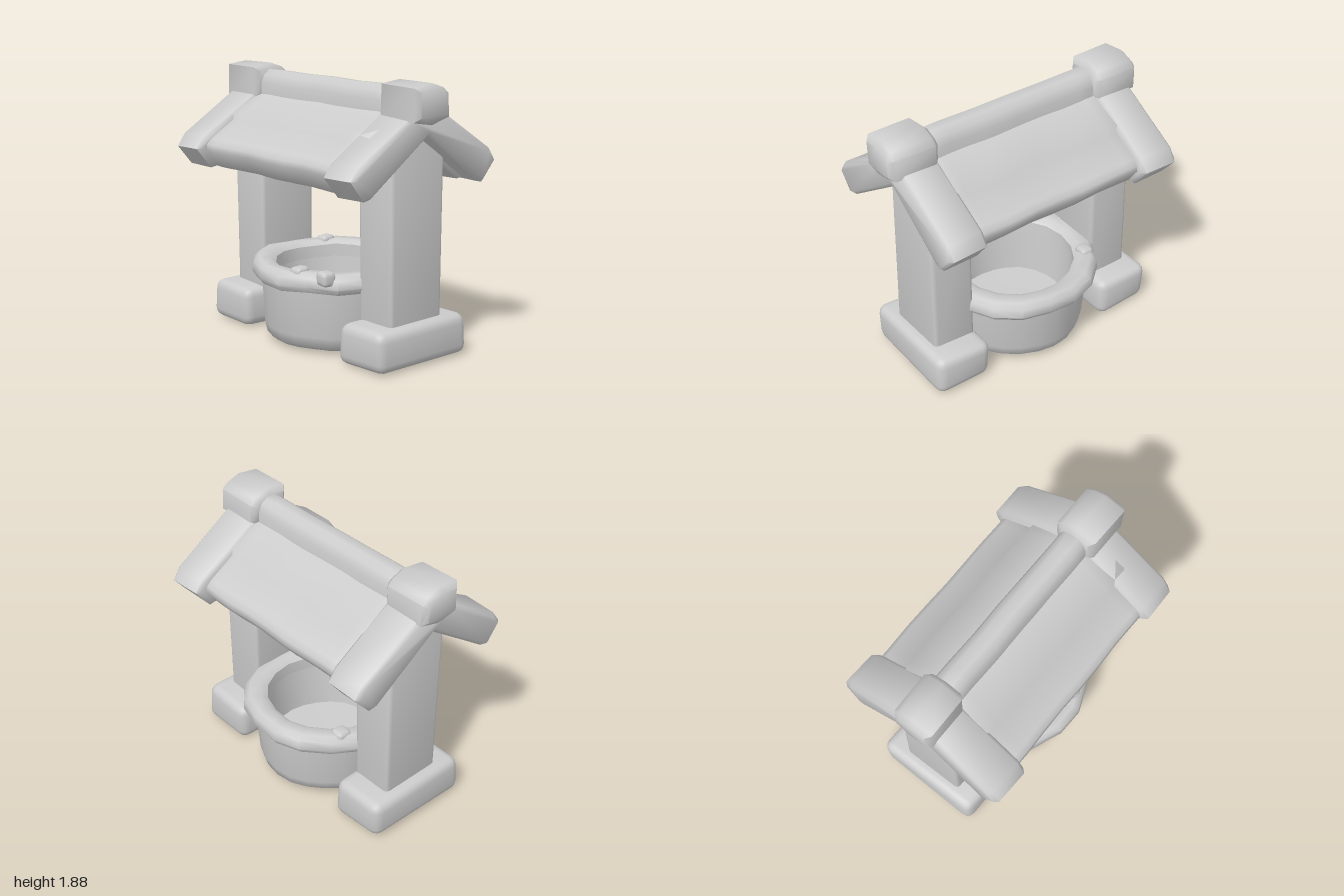
import * as THREE from 'three';
import { mergeVertices, toCreasedNormals } from 'three/addons/utils/BufferGeometryUtils.js';
import { RoundedBoxGeometry } from 'three/addons/geometries/RoundedBoxGeometry.js';

const CX = 0.048; // the basin sits slightly off the ridge line

export function createModel() {
  const model = new THREE.Group();
  model.name = 'well';
  const stone = new THREE.MeshStandardMaterial({ color: 0xcccccc });
  stone.name = 'pale grey stone';

  // Gentle hand-carved unevenness, the same for equal positions so seams stay closed
  function wobble(geo, amount) {
    const p = geo.attributes.position;
    for (let i = 0; i < p.count; i++) {
      const x = p.getX(i), y = p.getY(i), z = p.getZ(i);
      p.setXYZ(i,
        x + amount * Math.sin(7 * y + 9 * z + 1),
        y + amount * Math.sin(8 * x + 11 * z + 2),
        z + amount * Math.sin(6 * x + 8 * y));
    }
    return geo;
  }

  function add(name, geo, crease = 0.9) {
    const mesh = new THREE.Mesh(toCreasedNormals(geo, crease), stone);
    mesh.name = name;
    model.add(mesh);
    return mesh;
  }

  // Rounded block given by its limits
  function block(name, x0, x1, y0, y1, z0, z1, radius) {
    let geo = new RoundedBoxGeometry(x1 - x0, y1 - y0, z1 - z0, 2, radius);
    geo.translate((x0 + x1) / 2, (y0 + y1) / 2, (z0 + z1) / 2);
    geo.deleteAttribute('uv');
    geo.deleteAttribute('normal');
    geo = mergeVertices(geo, 1e-4);
    add(name, wobble(geo, 0.006));
  }

  // Profile in x and y, pulled from z0 to z1 with chamfered ends
  function prism(name, points, z0, z1, bevel, { steps = 1, amount = 0.005, crease = 0.9 } = {}) {
    const shape = new THREE.Shape(points.map(([x, y]) => new THREE.Vector2(x, y)));
    const geo = new THREE.ExtrudeGeometry(shape, {
      depth: z1 - z0 - 2 * bevel, steps, bevelEnabled: true,
      bevelSize: bevel, bevelOffset: -bevel, bevelThickness: bevel, bevelSegments: 1,
    });
    geo.translate(0, 0, z0 + bevel);
    return add(name, wobble(geo, amount), crease);
  }

  // Mirror the right half of a roof profile, from upper centre to lower centre
  const gable = (half) => [
    ...half,
    ...half.slice(1, -1).reverse().map(([x, y]) => [-x, y]),
  ];

  // Footings and posts
  block('frontFooting', -0.355, 0.445, 0.005, 0.285, 0.475, 0.9, 0.065);
  block('backFooting', -0.355, 0.445, 0.005, 0.285, -0.93, -0.51, 0.065);
  block('frontPost', -0.19, 0.275, 0.2, 1.52, 0.495, 0.815, 0.03);
  block('backPost', -0.19, 0.275, 0.2, 1.52, -0.85, -0.53, 0.03);

  // Roof covering with one shingle step on each slope
  prism('roofPanel', gable([
    [0, 1.7], [0.1, 1.67], [0.335, 1.545], [0.35, 1.505], [0.54, 1.385],
    [0.575, 1.35], [0.58, 1.31], [0.49, 1.19], [0.44, 1.185], [0, 1.5],
  ]), -0.78, 0.78, 0.01, { steps: 8, amount: 0.004, crease: 1.2 });

  // Gable beams at both ends, the front one a little askew
  const beam = gable([
    [0, 1.72], [0.15, 1.665], [0.585, 1.4], [0.645, 1.315],
    [0.53, 1.175], [0.48, 1.185], [0, 1.53],
  ]);
  prism('frontGableBeam', beam, 0.635, 0.93, 0.025, { crease: 1.1 }).rotation.y = 0.018;
  prism('backGableBeam', beam, -0.95, -0.655, 0.025, { crease: 1.1 });

  // Ridge pole and its end blocks
  prism('ridgePole', [
    [-0.11, 1.62], [0.105, 1.62], [0.1, 1.74], [0.075, 1.8], [0.03, 1.83],
    [-0.04, 1.835], [-0.085, 1.8], [-0.11, 1.74],
  ], -0.8, 0.8, 0.01, { steps: 6, amount: 0.003 });
  const cap = [
    [-0.155, 1.64], [0, 1.61], [0.15, 1.65], [0.145, 1.8], [0.1, 1.84], [0, 1.875], [-0.155, 1.855],
  ];
  prism('frontRidgeBlock', cap, 0.63, 1, 0.035, { amount: 0.003 });
  prism('backRidgeBlock', cap, -1, -0.64, 0.035, { amount: 0.003 });

  // Hollow basin and its stone rim
  function lathe(name, points, segments, amount) {
    const geo = new THREE.LatheGeometry(points.map(([r, y]) => new THREE.Vector2(r, y)), segments);
    geo.translate(CX, 0, -0.01);
    add(name, wobble(geo, amount), 0.8);
  }
  lathe('basin', [
    [0, 0.02], [0.44, 0.02], [0.48, 0.05], [0.5, 0.12], [0.525, 0.48],
    [0.43, 0.5], [0.4, 0.13], [0, 0.12],
  ], 24, 0.004);
  lathe('basinRim', [
    [0.42, 0.46], [0.51, 0.44], [0.57, 0.45], [0.597, 0.49], [0.588, 0.55],
    [0.55, 0.582], [0.47, 0.58], [0.425, 0.55], [0.42, 0.46],
  ], 18, 0.007);

  // Small raised stones on the rim
  for (const [x, z] of [[-0.42, 0.16], [-0.37, 0.37], [0.31, -0.44]]) {
    block('rimStone', x - 0.055, x + 0.055, 0.51, 0.608, z - 0.05, z + 0.05, 0.028);
  }

  return model;
}
